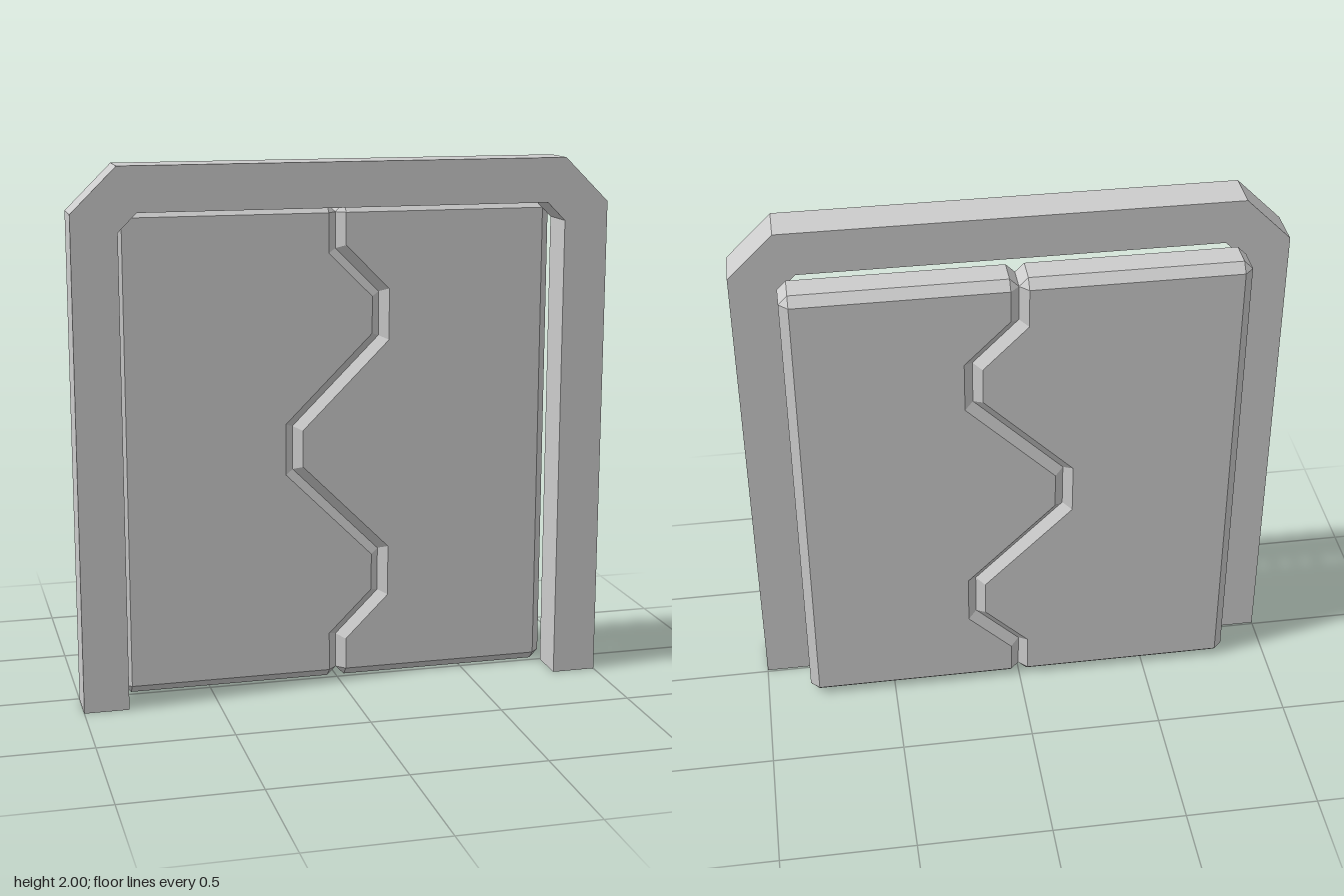
import * as THREE from 'three';

const BEVEL = 0.033, HALF = 0.833, DOOR_TOP = 1.835;
const BACK = -0.159, JOIN = 0.007, FRONT = 0.159;

// Zigzag seam between the two door leaves, bottom to top
const SEAM = [
  [0, 0], [0, 0.167], [0.167, 0.333], [0.167, 0.5], [-0.167, 0.833], [-0.167, 1],
  [0.167, 1.333], [0.167, 1.5], [0, 1.667], [0, DOOR_TOP],
].map(([x, y]) => new THREE.Vector2(x, y));

// Bevelled slab from a counter-clockwise outline: edges chamfered, square corners cut off
function bevelledSlab(outline, z0, z1, b) {
  const n = outline.length, face = [], rim = [], inner = [];
  outline.forEach((p, i) => {
    const dIn = p.clone().sub(outline[(i + n - 1) % n]).normalize();
    const dOut = outline[(i + 1) % n].clone().sub(p).normalize();
    const nIn = new THREE.Vector2(-dIn.y, dIn.x), nOut = new THREE.Vector2(-dOut.y, dOut.x);
    const mitre = nIn.clone().add(nOut).multiplyScalar(b / (1 + nIn.dot(nOut)));
    const q = p.clone().add(mitre);
    face.push(q);
    if (Math.abs(dIn.dot(dOut)) < 0.01) {
      rim.push(p.clone().addScaledVector(dIn, -b), p.clone().addScaledVector(dOut, b));
      inner.push(q, q);
    } else {
      rim.push(p);
      inner.push(q);
    }
  });

  const pos = [];
  const tri = (...pts) => pts.forEach(([v, z]) => pos.push(v.x, v.y, z));
  const rings = [[inner, z0], [rim, z0 + b], [rim, z1 - b], [inner, z1]];
  for (let r = 0; r < 3; r++) {
    const [lo, zl] = rings[r], [hi, zh] = rings[r + 1];
    for (let i = 0; i < lo.length; i++) {
      const j = (i + 1) % lo.length;
      if (lo[i] !== lo[j]) tri([lo[i], zl], [lo[j], zl], [hi[j], zh]);
      if (hi[i] !== hi[j]) tri([lo[i], zl], [hi[j], zh], [hi[i], zh]);
    }
  }
  for (const [a, c, d] of THREE.ShapeUtils.triangulateShape(face, [])) {
    tri([face[a], z1], [face[c], z1], [face[d], z1]);
    tri([face[a], z0], [face[d], z0], [face[c], z0]);
  }
  const geo = new THREE.BufferGeometry();
  geo.setAttribute('position', new THREE.Float32BufferAttribute(pos, 3));
  geo.computeVertexNormals();
  return geo;
}

export function createModel() {
  const group = new THREE.Group();
  const material = new THREE.MeshStandardMaterial({ color: 0xcccccc, flatShading: true });
  const add = (name, geometry) => {
    const mesh = new THREE.Mesh(geometry, material);
    mesh.name = name;
    group.add(mesh);
    return mesh;
  };

  // Door frame: an arch with clipped corners outside and inside
  const half = [[HALF, 0], [1, 0], [1, 1.835], [0.833, 2]];
  const opening = [[0.765, DOOR_TOP], [HALF, 1.767]];
  const mirror = pts => pts.map(([x, y]) => [-x, y]).reverse();
  const arch = [...half, ...mirror(half), ...mirror(opening), ...opening];
  const frameShape = new THREE.Shape(arch.map(([x, y]) => new THREE.Vector2(x, y)));
  add('doorFrame', new THREE.ExtrudeGeometry(frameShape, { depth: FRONT - JOIN, bevelEnabled: false }))
    .position.z = JOIN;

  // Two interlocking door leaves behind the frame
  const v = (x, y) => new THREE.Vector2(x, y);
  const leftOutline = [v(HALF, 0), v(HALF, DOOR_TOP), ...SEAM.slice().reverse()];
  const rightOutline = [...SEAM, v(-HALF, DOOR_TOP), v(-HALF, 0)];
  add('leftDoor', bevelledSlab(leftOutline, BACK, JOIN, BEVEL));
  add('rightDoor', bevelledSlab(rightOutline, BACK, JOIN, BEVEL));

  return group;
}
